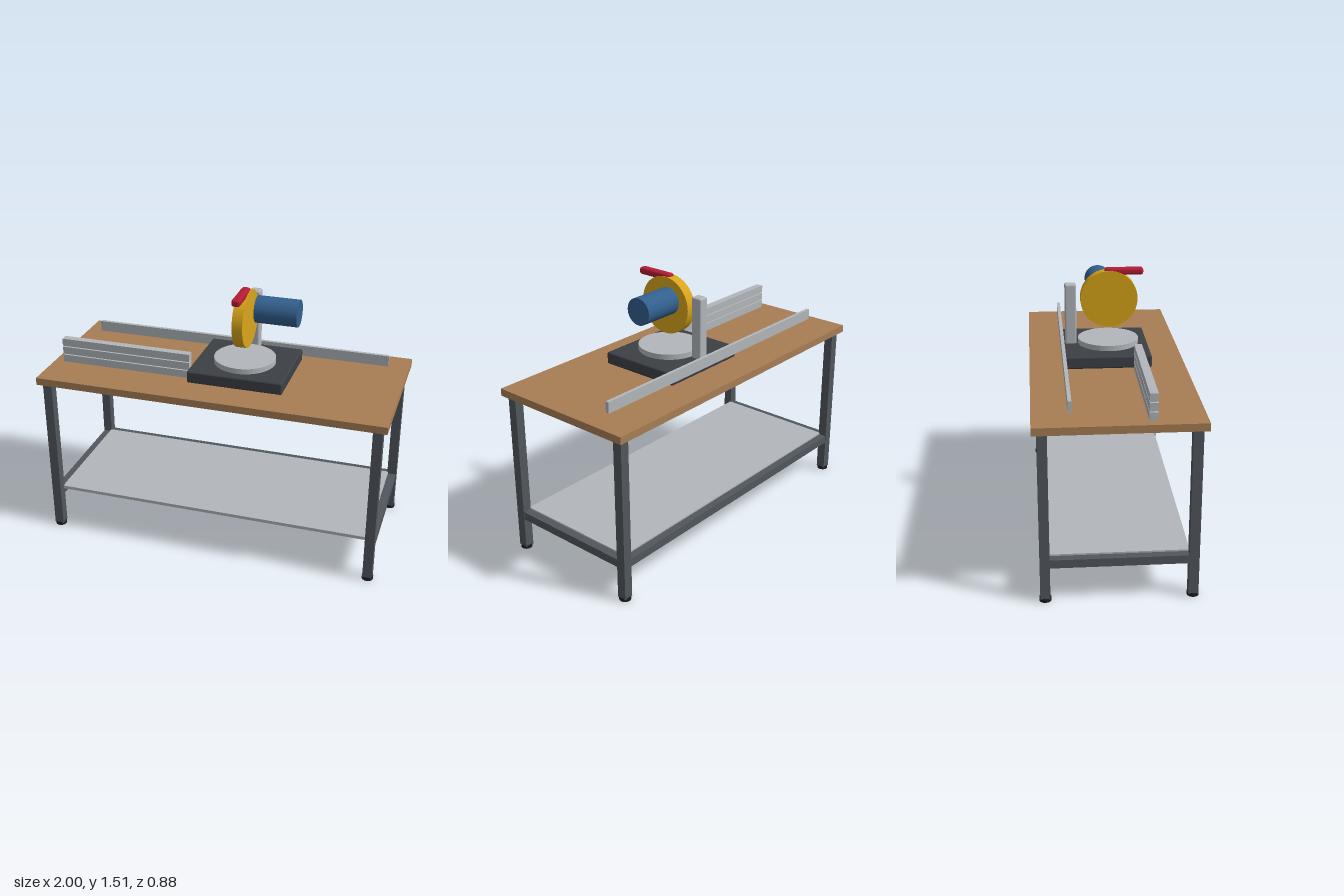
import * as THREE from 'three';
import { RoundedBoxGeometry } from 'three/addons/geometries/RoundedBoxGeometry.js';

const paint = (color) => new THREE.MeshStandardMaterial({ color });

export function createModel() {
  const model = new THREE.Group();
  model.name = 'sawBench';

  const wood = paint(0xa87e55);
  const steel = paint(0x52575d);
  const rubber = paint(0x1c1e21);
  const aluminium = paint(0xb2b7bb);
  const castIron = paint(0x3c4045);
  const yellow = paint(0xd9a51a);
  const blue = paint(0x33608f);
  const red = paint(0xb51c34);

  const add = (name, geometry, material, x, y, z) => {
    const mesh = new THREE.Mesh(geometry, material);
    mesh.name = name;
    mesh.position.set(x, y, z);
    model.add(mesh);
    return mesh;
  };
  const box = (name, material, [w, h, d], [x, y, z]) =>
    add(name, new THREE.BoxGeometry(w, h, d), material, x, y, z);
  const rounded = (name, material, [w, h, d], radius, [x, y, z]) =>
    add(name, new RoundedBoxGeometry(w, h, d, 3, radius), material, x, y, z);
  const disc = (name, material, radius, length, [x, y, z]) =>
    add(name, new THREE.CylinderGeometry(radius, radius, length, 48), material, x, y, z);

  // Bench: top, four legs with round feet
  box('benchTop', wood, [2, 0.042, 0.885], [0, 0.979, 0]);
  const legX = 0.947, legZ = 0.39, legSize = 0.053;
  for (const sx of [-1, 1]) {
    for (const sz of [-1, 1]) {
      box('leg', steel, [legSize, 0.943, legSize], [sx * legX, 0.4865, sz * legZ]);
      disc('foot', rubber, 0.032, 0.02, [sx * legX, 0.01, sz * legZ]);
    }
    // Side rail
    box('sideRail', steel, [0.048, 0.047, 2 * legZ - legSize], [sx * legX, 0.2235, 0]);
  }

  // Back rail and lower shelf; the front stays open
  box('backRail', steel, [2 * legX - legSize, 0.047, 0.048], [0, 0.2235, -legZ]);
  box('shelf', aluminium, [1.85, 0.019, 0.74], [0, 0.2465, 0]);

  // Long fence at the back and stacked stock at the front
  box('rearFence', aluminium, [1.78, 0.063, 0.02], [0, 1.06, -0.247]);
  for (let i = 0; i < 3; i++) {
    box('stockBar', aluminium, [0.775, 0.044, 0.044], [-0.557, 1.022 + i * 0.05, 0.167]);
  }

  // Saw base, turntable and rear post
  const sawX = 0.11;
  rounded('sawBase', castIron, [0.55, 0.07, 0.49], 0.01, [sawX, 1.035, 0.004]);
  disc('turntable', aluminium, 0.176, 0.032, [sawX, 1.085, 0.02]);
  rounded('post', aluminium, [0.06, 0.357, 0.066], 0.01, [sawX, 1.247, -0.198]);

  // Saw head: blade guard, motor and handle
  disc('bladeGuard', yellow, 0.165, 0.06, [sawX, 1.336, 0.024]).rotation.z = Math.PI / 2;
  disc('motor', blue, 0.077, 0.243, [0.287, 1.38, -0.022]).rotation.z = Math.PI / 2;
  rounded('handle', red, [0.05, 0.041, 0.222], 0.015, [sawX, 1.494, 0.111]);

  return model;
}
